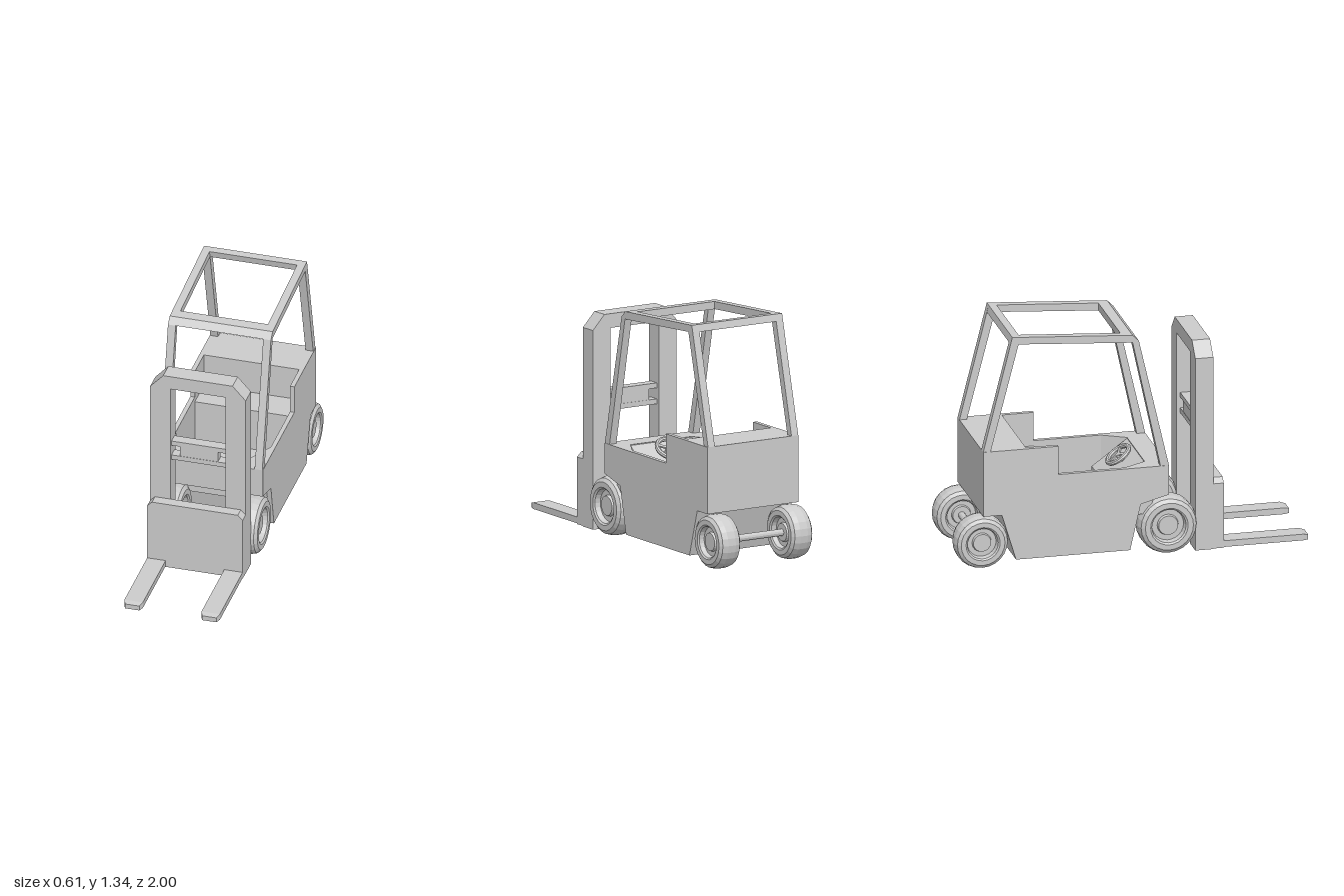
import * as THREE from 'three';

const mat = new THREE.MeshStandardMaterial({ color: 0xcccccc, flatShading: true });

export function createModel() {
  const model = new THREE.Group();
  model.name = 'forklift';

  const add = (name, geo, x = 0, y = 0, z = 0, parent = model) => {
    const m = new THREE.Mesh(geo, mat);
    m.name = name;
    m.position.set(x, y, z);
    parent.add(m);
    return m;
  };
  const shapeOf = (pts) => new THREE.Shape(pts.map((p) => new THREE.Vector2(p[0], p[1])));
  const extrude = (shape, depth) =>
    new THREE.ExtrudeGeometry(shape, { depth, bevelEnabled: false }).translate(0, 0, -depth / 2);
  // side profile given as [z, y], extruded across x
  const sideProfile = (pts, width) =>
    extrude(shapeOf(pts.map(([z, y]) => [-z, y])), width).rotateY(Math.PI / 2);
  // plan profile given as [x, z], extruded along y
  const planProfile = (pts, height) =>
    extrude(shapeOf(pts.map(([x, z]) => [x, -z])), height).rotateX(-Math.PI / 2);
  const box = (w, h, d) => new THREE.BoxGeometry(w, h, d);

  // Body: a stepped hull between two thin side walls
  const underside = [[-0.845, 0.32], [-0.74, 0.32], [-0.66, 0.055],
    [-0.015, 0.055], [0.045, 0.318], [0.205, 0.36]];
  const wallTop = [[0.205, 0.53], [-0.42, 0.53], [-0.42, 0.695], [-0.845, 0.695]];
  const hullTop = [[0.205, 0.53], [0.09, 0.53], [0.09, 0.25], [-0.42, 0.25],
    [-0.42, 0.5], [-0.6, 0.5], [-0.6, 0.695], [-0.845, 0.695]];
  const wall = 0.025, half = 0.297;
  add('hull', sideProfile([...underside, ...hullTop], 2 * (half - wall)));
  for (const s of [-1, 1]) {
    add('sideWall', sideProfile([...underside, ...wallTop], wall), s * (half - wall / 2));
    // Hood flank beside the dashboard
    add('hoodFlank', planProfile([[s * 0.272, 0.09], [s * 0.2, 0.09], [s * 0.272, -0.04]], 0.28), 0, 0.39);
  }

  // Sloped dashboard with the steering wheel
  add('dashboard', sideProfile([[0.09, 0.25], [0.09, 0.525], [-0.11, 0.38], [-0.11, 0.25]], 0.4));
  const steering = new THREE.Group();
  steering.name = 'steeringWheel';
  steering.position.set(0.01, 0.505, -0.007);
  steering.rotation.x = -0.62;
  model.add(steering);
  add('steeringRim', new THREE.TorusGeometry(0.07, 0.014, 8, 24).rotateX(Math.PI / 2), 0, 0, 0, steering);
  add('steeringColumn', new THREE.CylinderGeometry(0.016, 0.016, 0.08, 12), 0, -0.035, 0, steering);
  for (let i = 0; i < 3; i++) {
    const a = Math.PI / 2 + (i * Math.PI * 2) / 3;
    const spoke = add('steeringSpoke', box(0.065, 0.01, 0.016),
      0.035 * Math.cos(a), 0, -0.035 * Math.sin(a), steering);
    spoke.rotation.y = a;
  }

  // Overhead guard: two side frames joined by cross bars
  const guard = [[0.205, 0.53], [0.035, 1.27], [0, 1.305], [-0.68, 1.35], [-0.845, 0.695],
    [-0.803, 0.695], [-0.645, 1.307], [0, 1.262], [0.157, 0.53]];
  for (const s of [-1, 1]) add('guardFrame', sideProfile(guard, 0.044), s * 0.272);
  add('guardFrontBar', sideProfile([[0.035, 1.27], [0, 1.305], [-0.06, 1.309], [-0.06, 1.266], [0, 1.262]], 0.5));
  add('guardRearBar', sideProfile([[-0.645, 1.307], [-0.635, 1.347], [-0.68, 1.35], [-0.69, 1.31]], 0.5));

  // Mast: inverted U with chamfered top corners
  add('mast', extrude(shapeOf([[-0.273, 0.012], [-0.273, 1.13], [-0.198, 1.212], [0.198, 1.212],
    [0.273, 1.13], [0.273, 0.012], [0.157, 0.012], [0.157, 1.132], [-0.157, 1.132], [-0.157, 0.012]]), 0.102),
    0, 0, 0.41);
  // Cross bars of the mast with a centre block
  for (const y of [0.769, 0.679]) add('mastCrossBar', box(0.32, 0.028, 0.06), 0, y, 0.41);
  add('mastCentreBlock', box(0.215, 0.116, 0.056), 0, 0.725, 0.41);

  // Carriage plate
  add('carriage', extrude(shapeOf([[-0.273, 0.015], [-0.273, 0.392], [-0.245, 0.42], [0.245, 0.42],
    [0.273, 0.392], [0.273, 0.015]]), 0.06), 0, 0, 0.49);

  // Forks with tapered tips
  for (const s of [-1, 1]) {
    const fork = box(0.105, 0.036, 0.49, 1, 1, 1);
    const body = fork.translate(0, 0, 0.245 - 0.02);
    add('fork', body, s * 0.22, 0.037, 0.5);
    const tip = box(0.105, 0.036, 0.03);
    const p = tip.attributes.position;
    for (let i = 0; i < p.count; i++) {
      if (p.getZ(i) > 0) {
        p.setX(i, p.getX(i) * 0.78);
        if (p.getY(i) > 0) p.setY(i, 0.01);
      }
    }
    add('forkTip', tip, s * 0.22, 0.037, 0.985);
  }

  // Wheels: turned tyre with recessed rim and raised hub on both faces
  const wheel = (r, w) => {
    const h = w / 2;
    const face = [[0, h * 0.72], [0.33 * r, h * 0.72], [0.36 * r, h * 0.5], [0.54 * r, h * 0.5],
      [0.58 * r, h * 0.9], [0.64 * r, h], [0.82 * r, h], [0.94 * r, h * 0.8], [r, h * 0.35]];
    const lower = face.map(([a, b]) => [a, -b]);
    const pts = [...lower, ...face.reverse()].map(([a, b]) => new THREE.Vector2(a, b));
    return new THREE.LatheGeometry(pts, 24).rotateZ(Math.PI / 2);
  };
  const axles = [['front', 0.205, 0.175, 0.166, 0.155, 0.227], ['rear', -0.848, 0.163, 0.151, 0.138, 0.235]];
  for (const [end, z, y, r, w, x] of axles) {
    for (const s of [-1, 1]) add(end + 'Wheel', wheel(r, w), s * x, y, z);
    add(end + 'Axle', new THREE.CylinderGeometry(0.02, 0.02, 2 * x, 12).rotateZ(Math.PI / 2), 0, y, z);
  }
  return model;
}
